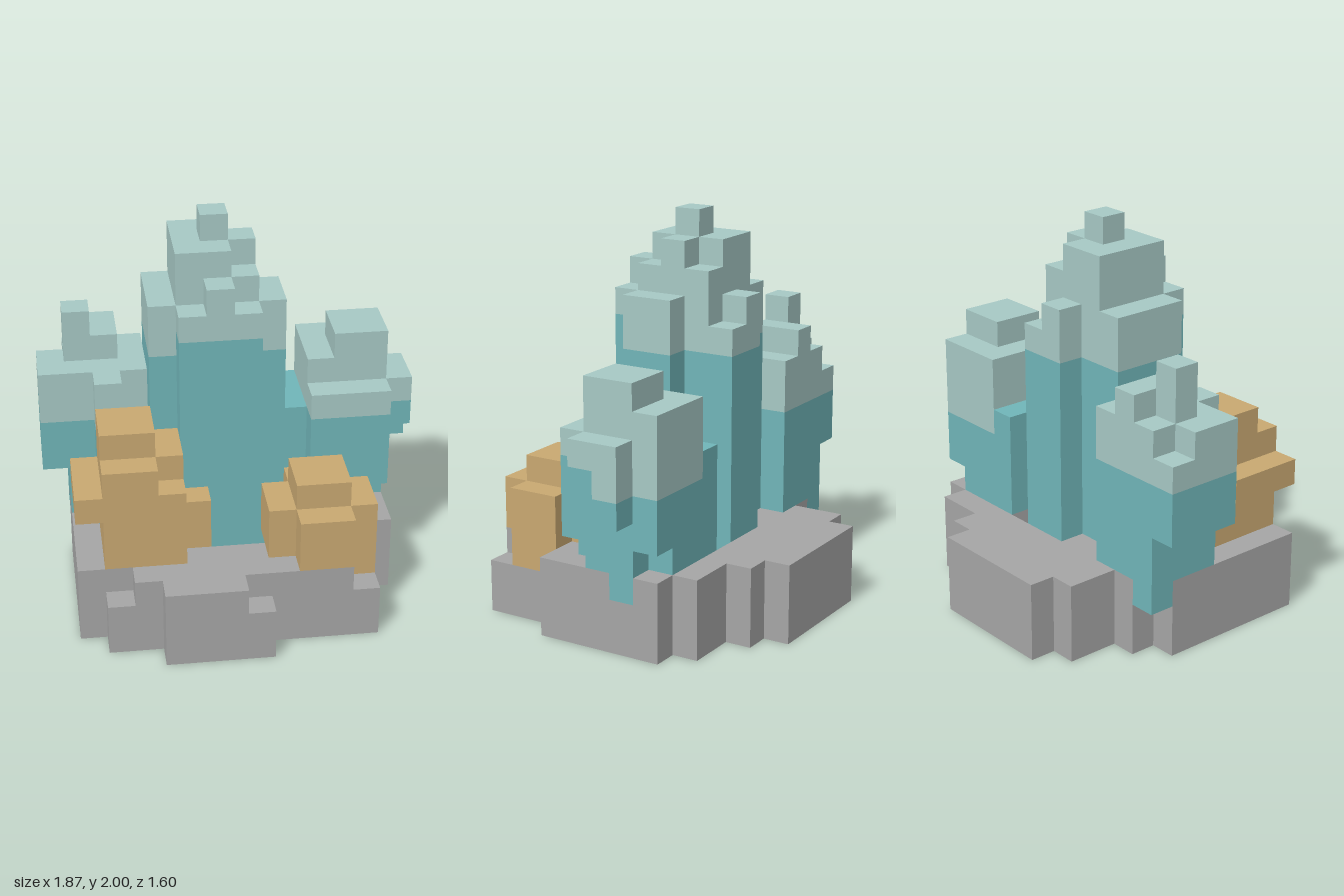
import * as THREE from 'three';

const U = 2 / 15; // one block

const material = (name, hex) => {
  const m = new THREE.MeshStandardMaterial({ color: hex });
  m.name = name;
  return m;
};

export function createModel() {
  const rock = material('grey rock', 0xa5a5a5);
  const teal = material('deep teal', 0x70b5b8);
  const pale = material('pale teal', 0xa6c8c4);
  const ochre = material('ochre', 0xc8a871);

  const model = new THREE.Group();
  model.name = 'crystalCluster';

  // Each row is x0, x1, y0, y1, z0, z1 in blocks
  const part = (name, mat, rows, parent) => {
    const group = new THREE.Group();
    group.name = name;
    for (const [x0, x1, y0, y1, z0, z1] of rows) {
      const mesh = new THREE.Mesh(new THREE.BoxGeometry((x1 - x0) * U, (y1 - y0) * U, (z1 - z0) * U), mat);
      mesh.position.set((x0 + x1) * U / 2, (y0 + y1) * U / 2, (z0 + z1) * U / 2);
      mesh.name = name + 'Block';
      group.add(mesh);
    }
    parent.add(group);
  };
  const cluster = (name) => {
    const g = new THREE.Group();
    g.name = name;
    model.add(g);
    return g;
  };

  // Rock ring, open in the middle
  const base = cluster('rockBase');
  part('backRock', rock, [
    [-3, 2, 0, 3, -6, -5], [-4, 3, 0, 3, -5, -4], [-4, 5, 0, 3, -4, -3], [-5, -1, 0, 3, -3, -2],
  ], base);
  part('leftSideRock', rock, [
    [2, 6, 0, 3, -3, -2], [2, 5, 0, 3, -2, -1], [5, 6, 0, 2, -2, -1],
    [2, 6, 0, 3, -1, 1], [3, 6, 0, 3, 1, 2],
  ], base);
  part('rightSideRock', rock, [
    [-6, -3, 0, 3, -2, 1], [-6, -5, 0, 3, 1, 2], [-4, -3, 0, 3, 1, 2], [-6, -2, 0, 3, 2, 3],
  ], base);
  part('frontRock', rock, [
    [2, 4, 0, 3, 2, 3], [4, 5, 0, 2, 2, 3], [-6, 4, 0, 3, 3, 4], [4, 5, 0, 2, 3, 4],
    [-5, -4, 0, 2, 4, 5], [-4, 4, 0, 3, 4, 5], [4, 5, 0, 2, 4, 5],
    [-3, 0, 0, 3, 5, 6], [0, 1, 0, 2, 5, 6],
  ], base);

  // Tall middle crystal
  const main = cluster('mainCrystal');
  part('mainShaft', teal, [
    [-3, 1, 1, 10, -2, 1], [1, 2, 1, 10, -1, 1], [-2, 1, 1, 11, 1, 2], [-1, 1, 1, 10, -3, -2],
  ], main);
  part('mainTip', pale, [
    [-3, -2, 10, 12, -2, 1], [1, 2, 10, 12, -1, 1],
    [-2, 0, 10, 14, -2, 1], [0, 1, 10, 13, -2, -1], [0, 1, 10, 14, -1, 0], [0, 1, 10, 13, 0, 1],
    [-1, 0, 14, 15, -1, 0],
    [-2, 1, 11, 12, 1, 2], [-1, 0, 12, 13, 1, 2],
    [-1, 0, 10, 12, -3, -2], [0, 1, 10, 11, -3, -2],
  ], main);

  // Crystal on the +x side
  const left = cluster('leftCrystal');
  part('leftShaft', teal, [
    [2, 3, 3, 7, -3, 0],
    [3, 5, 3, 6, -3, -1], [3, 5, 3, 7, -1, 1],
    [5, 6, 4, 6, -3, -2], [5, 6, 2, 6, -2, -1], [5, 6, 3, 7, -1, 0], [5, 6, 4, 7, 0, 1],
    [6, 7, 5, 6, -2, -1], [6, 7, 6, 7, -1, 0],
  ], left);
  part('leftTip', pale, [
    [3, 6, 6, 9, -3, -2], [3, 4, 6, 9, -2, -1], [3, 4, 7, 9, -1, 0],
    [4, 6, 6, 10, -2, -1], [4, 6, 7, 10, -1, 0], [3, 6, 7, 8, 0, 1],
    [6, 7, 6, 8, -2, -1], [6, 7, 7, 8, -1, 0],
  ], left);

  // Crystal on the -x side
  const right = cluster('rightCrystal');
  part('rightShaft', teal, [
    [-6, -5, 2, 7, -3, -2], [-5, -3, 3, 7, -3, -2], [-6, -3, 3, 7, -2, 0],
    [-7, -6, 5, 7, -3, 0], [-5, -4, 3, 7, 0, 1],
  ], right);
  part('rightTip', pale, [
    [-6, -3, 7, 9, -3, 0], [-7, -6, 7, 9, -2, 0], [-7, -6, 7, 8, -3, -2],
    [-6, -5, 9, 11, -2, -1], [-5, -4, 9, 10, -3, -1], [-5, -4, 7, 9, 0, 1],
  ], right);

  // Ochre growths in front
  part('largeOchreGrowth', ochre, [
    [-5, -4, 0, 3, 1, 2], [-5, -3, 3, 8, 1, 3], [-5, -3, 3, 7, 3, 4],
    [-3, -2, 3, 7, 1, 3], [-3, -2, 3, 6, 3, 4], [-6, -5, 5, 6, 1, 4],
    [-2, -1, 2, 5, 2, 3], [-4, -3, 3, 7, 0, 1],
  ], model);
  part('smallOchreGrowth', ochre, [
    [2, 3, 0, 5, 1, 2], [3, 4, 3, 5, 1, 2], [2, 4, 3, 6, 2, 4], [2, 4, 3, 5, 4, 5],
    [1, 2, 3, 5, 2, 4], [4, 5, 2, 5, 2, 4],
  ], model);

  return model;
}
